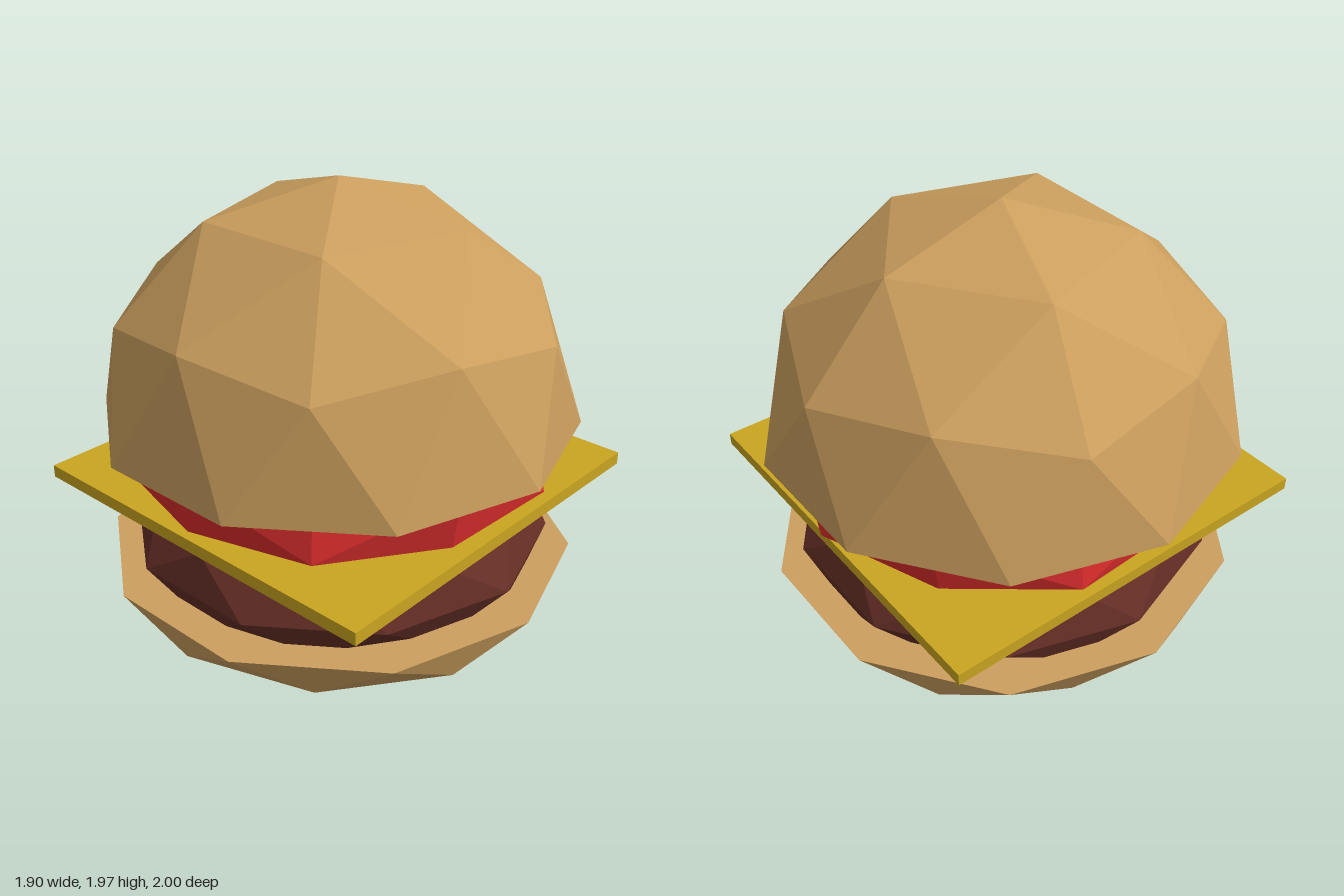
import * as THREE from 'three';
import { ConvexGeometry } from 'three/addons/geometries/ConvexGeometry.js';

// Distinct corners of a unit icosphere with a corner at the top and the next ones towards +x
function spherePoints() {
  const g = new THREE.IcosahedronGeometry(1, 1);
  g.rotateZ(Math.atan(2 / (1 + Math.sqrt(5)))).rotateY(Math.PI);
  const points = [];
  const pos = g.attributes.position;
  for (let i = 0; i < pos.count; i++) {
    const p = new THREE.Vector3().fromBufferAttribute(pos, i);
    if (Math.abs(p.y) < 1e-3) p.y = 0;
    if (!points.some((q) => q.distanceTo(p) < 1e-3)) points.push(p);
  }
  return points;
}

export function createModel() {
  const group = new THREE.Group();
  const points = spherePoints();

  const material = (color) => new THREE.MeshStandardMaterial({ color, flatShading: true });
  const bun = material(0xcc9f5e);
  const meat = material(0x642d25);
  const red = material(0xdc2d2d);
  const yellow = material(0xcaa520);

  // A faceted layer: the hull of the chosen sphere corners, scaled and turned
  function layer(name, mat, keep, radius, height, y, turn = 0) {
    const mesh = new THREE.Mesh(new ConvexGeometry(points.filter(keep)), mat);
    mesh.name = name;
    mesh.scale.set(radius, height, radius);
    mesh.position.y = y;
    mesh.rotation.y = turn;
    group.add(mesh);
  }

  // Buns are closed half spheres, the lower one flattened
  layer('bottomBun', bun, (p) => p.y <= 0, 1, 0.384, 0.384);
  layer('topBun', bun, (p) => p.y >= 0, 1, 0.998, 0.977);

  // Patty is a flattened full sphere
  layer('patty', meat, () => true, 0.895, 0.38, 0.48, Math.PI);

  // Tomato leaves out the equator corners, giving upright sides
  layer('tomato', red, (p) => p.y !== 0, 1, 0.25, 0.907, Math.PI);

  // Square cheese slice
  const cheese = new THREE.Mesh(new THREE.BoxGeometry(1.71, 0.054, 1.71), yellow);
  cheese.name = 'cheese';
  cheese.position.y = 0.714;
  group.add(cheese);

  return group;
}
